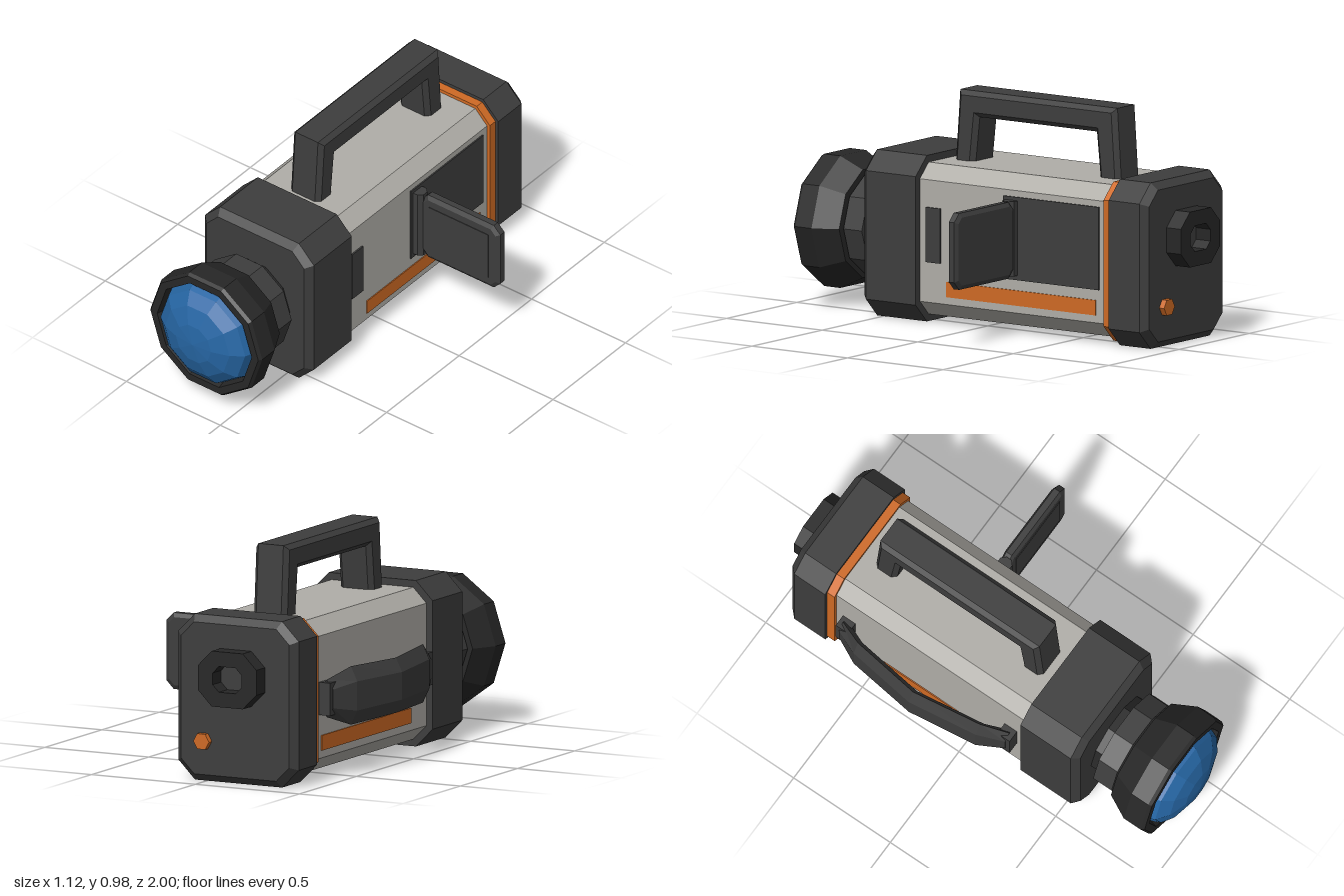
import * as THREE from 'three';

const paint = (name, color) => Object.assign(new THREE.MeshStandardMaterial({ color }), { name });
const CX = -0.15, CY = 0.355; // lens axis

// Faceted normals
function flat(geo) {
  const g = geo.index ? geo.toNonIndexed() : geo;
  g.computeVertexNormals();
  return g;
}

// Skin over convex rings of [x, y, z], counter-clockwise seen from +z, ordered by rising z
function loft(rings) {
  const n = rings[0].length, last = (rings.length - 1) * n, index = [];
  for (let r = 0; r < rings.length - 1; r++) {
    for (let i = 0; i < n; i++) {
      const a = r * n + i, b = r * n + (i + 1) % n;
      index.push(a, b, b + n, a, b + n, a + n);
    }
  }
  for (let i = 1; i < n - 1; i++) {
    index.push(0, i + 1, i, last, last + i, last + i + 1);
  }
  const g = new THREE.BufferGeometry();
  g.setAttribute('position', new THREE.Float32BufferAttribute(rings.flat(2), 3));
  g.setIndex(index);
  return flat(g);
}

// Corner points of a rectangle with cut corners
function cutRect(w, h, c) {
  const x = w / 2, y = h / 2;
  return [[x, -y + c], [x, y - c], [x - c, y], [-x + c, y], [-x, y - c], [-x, -y + c], [-x + c, -y], [x - c, -y]];
}

// Block with cut corners; each section is [z, inset]
function block(cx, cy, w, h, c, sections) {
  return loft(sections.map(([z, d]) =>
    cutRect(w - 2 * d, h - 2 * d, c - 0.586 * d).map(([x, y]) => [cx + x, cy + y, z])));
}

// Ten-sided turned part on the lens axis; profile is [radius, z]
function turned(profile) {
  const g = new THREE.LatheGeometry(profile.map(p => new THREE.Vector2(...p)), 10, Math.PI / 2);
  return flat(g.rotateX(Math.PI / 2).translate(CX, CY, 0));
}

function box(x0, x1, y0, y1, z0, z1) {
  return new THREE.BoxGeometry(x1 - x0, y1 - y0, z1 - z0)
    .translate((x0 + x1) / 2, (y0 + y1) / 2, (z0 + z1) / 2);
}

export function createModel() {
  const grey = paint('body grey', 0xb0aea8);
  const dark = paint('dark plastic', 0x3d3d3d);
  const black = paint('black rubber', 0x272727);
  const orange = paint('orange accent', 0xcf6a24);
  const blue = paint('lens blue', 0x2666a4);

  const model = new THREE.Group();
  model.name = 'camcorder';
  const add = (name, geo, mat) => {
    const m = new THREE.Mesh(geo, mat);
    m.name = name;
    model.add(m);
    return m;
  };

  // Main casing
  add('body', block(CX, CY, 0.52, 0.65, 0.063, [[-0.75, 0], [0.3, 0]]), grey);
  add('frontHousing', block(CX, CY, 0.58, 0.71, 0.08, [[0.275, 0], [0.535, 0], [0.565, 0.03]]), dark);
  add('rearHousing', block(CX, CY, 0.58, 0.71, 0.08, [[-0.925, 0.03], [-0.895, 0], [-0.735, 0]]), dark);
  add('accentBand', block(CX, CY, 0.55, 0.68, 0.07, [[-0.737, 0], [-0.697, 0]]), orange);

  // Lens
  add('lensNeck', turned([[0.185, 0.55], [0.185, 0.72]]), black);
  add('focusRing', turned([[0.17, 0.605], [0.225, 0.605], [0.225, 0.7], [0.17, 0.7]]), dark);
  add('lensHood', turned([[0.15, 0.71], [0.243, 0.71], [0.297, 0.815], [0.297, 0.9],
    [0.287, 0.915], [0.252, 0.915], [0.243, 0.88]]), black);
  const dome = [];
  for (let i = 0; i <= 4; i++) {
    const a = (i / 4) * Math.PI / 2;
    dome.push([0.244 * Math.cos(a), 0.88 + 0.12 * Math.sin(a)]);
  }
  add('lensGlass', turned(dome), blue);

  // Top carrying handle
  const arch = new THREE.Shape([[0.236, 0.62], [0.21, 0.98], [-0.612, 0.98], [-0.636, 0.62],
    [-0.53, 0.62], [-0.505, 0.87], [0.108, 0.87], [0.135, 0.62]].map(p => new THREE.Vector2(...p)));
  const handle = new THREE.ExtrudeGeometry(arch, {
    depth: 0.12, bevelEnabled: true, bevelSize: 0.02, bevelOffset: -0.02, bevelThickness: 0.02, bevelSegments: 1,
  });
  add('handle', flat(handle.rotateY(-Math.PI / 2).translate(CX + 0.06, 0, 0)), dark);

  // Hand strap: hexagonal band bowed away from the side; [z, x, half height]
  const strap = [[-0.645, -0.437, 0.08], [-0.53, -0.49, 0.125], [-0.215, -0.533, 0.118],
    [0.1, -0.49, 0.125], [0.215, -0.437, 0.08]];
  add('handStrap', loft(strap.map(([z, x, h]) => [0, 1, 2, 3, 4, 5].map(i => {
    const a = Math.PI / 6 + i * Math.PI / 3;
    return [x + 0.035 * Math.cos(a), 0.35 + h * Math.sin(a), z];
  }))), dark);
  for (const z of [-0.632, 0.204]) {
    add('strapAnchor', box(-0.464, -0.4, 0.28, 0.42, z - 0.032, z + 0.032), dark);
  }

  // Side details
  add('screenBay', box(0.108, 0.116, 0.235, 0.59, -0.665, -0.165), dark);
  add('sidePort', box(0.108, 0.117, 0.265, 0.5, 0.165, 0.24), dark);
  for (const x of [0.11, -0.41]) {
    add('sideStripe', box(x - 0.0045, x + 0.0045, 0.125, 0.19, -0.647, 0.135), orange);
  }

  // Fold-out screen
  const hinge = new THREE.CylinderGeometry(0.033, 0.033, 0.32, 8).rotateY(Math.PI / 8);
  add('screenHinge', flat(hinge.translate(0.128, 0.415, -0.21)), dark);
  add('screenPanel', block(0.35, 0.413, 0.42, 0.327, 0.035,
    [[-0.245, 0.018], [-0.235, 0], [-0.207, 0], [-0.195, 0.018]]), dark);
  add('screenFace', box(0.19, 0.505, 0.3, 0.525, -0.198, -0.192), dark);

  // Eyepiece with a cut-cornered opening
  const toShape = (T, pts) => new T(pts.map(p => new THREE.Vector2(...p)));
  const eye = toShape(THREE.Shape, cutRect(0.28, 0.237, 0.065));
  eye.holes.push(toShape(THREE.Path, cutRect(0.14, 0.11, 0.03)));
  const eyepiece = new THREE.ExtrudeGeometry(eye, { depth: 0.08, bevelEnabled: false });
  add('eyepiece', flat(eyepiece.translate(CX - 0.003, 0.458, -1)), black);

  // Record button
  const button = new THREE.CylinderGeometry(0.038, 0.038, 0.04, 6).rotateX(Math.PI / 2).rotateZ(Math.PI / 6);
  add('recordButton', flat(button.translate(0, 0.175, -0.93)), orange);

  return model;
}
